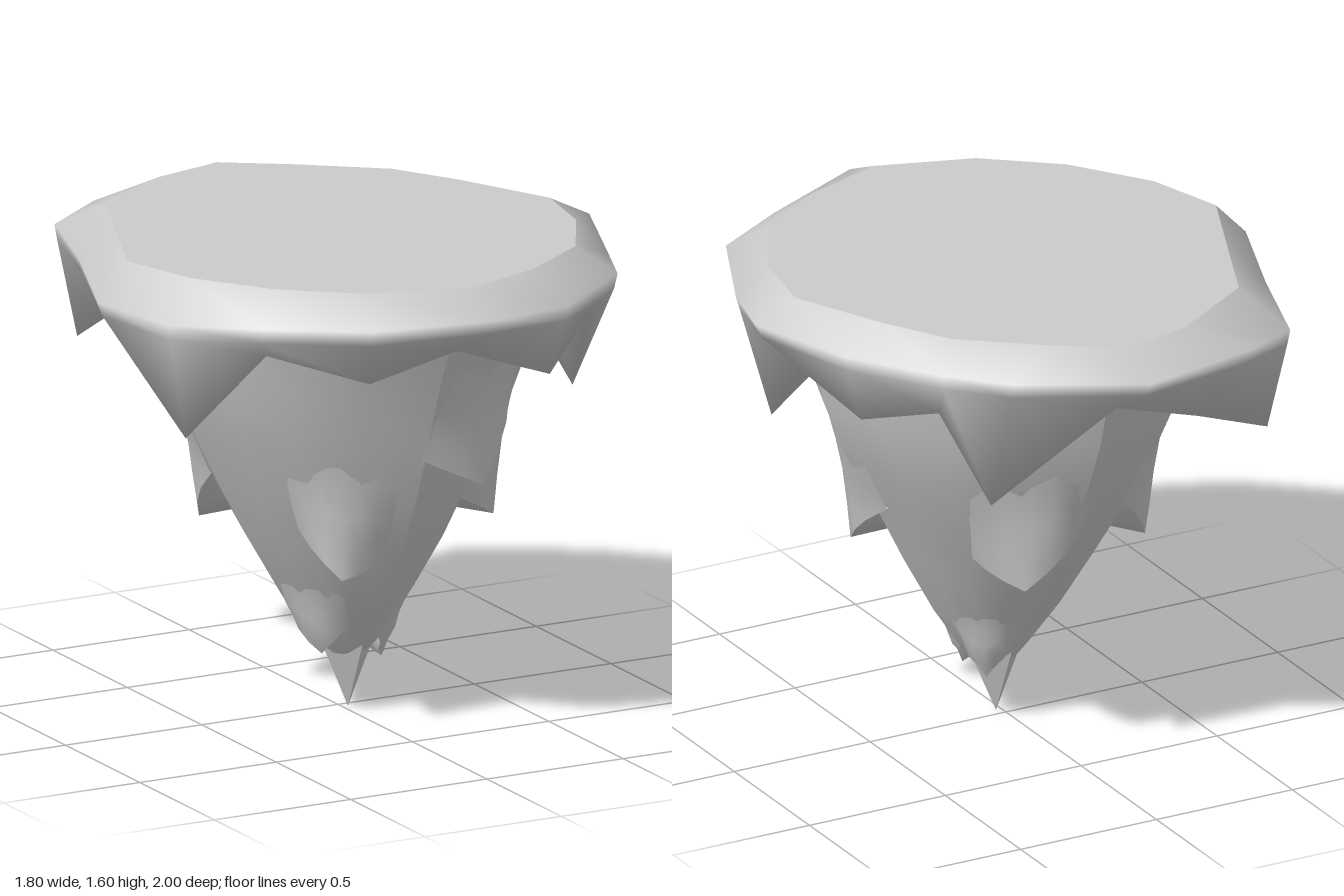
import * as THREE from 'three';

const CX = 0.02, CZ = 0.03; // axis of the rock

const grey = () => new THREE.MeshStandardMaterial({ color: 0xcccccc, side: THREE.DoubleSide });

// Skins a list of rings (top to bottom) with smooth normals.
function loft(rings, closed) {
  const n = rings[0].length, index = [];
  for (let i = 0; i < rings.length - 1; i++) {
    for (let j = 0; j < (closed ? n : n - 1); j++) {
      const k = (j + 1) % n, a = i * n + j, b = i * n + k;
      index.push(a, b, a + n, b, b + n, a + n);
    }
  }
  const g = new THREE.BufferGeometry();
  g.setAttribute('position', new THREE.Float32BufferAttribute(rings.flat(2), 3));
  g.setIndex(index);
  g.computeVertexNormals();
  return g;
}

function add(group, name, geometry) {
  const mesh = new THREE.Mesh(geometry, grey());
  mesh.name = name;
  group.add(mesh);
}

// Flat top outline: x, z, starting at the back and running over +x.
const TOP = [[0.02, -0.85], [0.24, -0.7], [0.48, -0.51], [0.61, -0.29], [0.76, 0.03], [0.71, 0.3],
  [0.56, 0.57], [0.31, 0.74], [0.02, 0.845], [-0.3, 0.74], [-0.53, 0.555], [-0.71, 0.3],
  [-0.79, 0.03], [-0.66, -0.28], [-0.53, -0.59], [-0.22, -0.79]];
// Widest line of the rim: x, y, z.
const RIM = [[0.02, 1.53, -1], [0.4, 1.52, -0.77], [0.56, 1.52, -0.6], [0.74, 1.5, -0.27],
  [0.9, 1.53, 0.04], [0.8, 1.49, 0.35], [0.66, 1.52, 0.67], [0.37, 1.5, 0.87],
  [0.02, 1.53, 1], [-0.35, 1.51, 0.87], [-0.63, 1.5, 0.64], [-0.82, 1.47, 0.36],
  [-0.905, 1.48, 0.04], [-0.74, 1.5, -0.39], [-0.62, 1.5, -0.77], [-0.41, 1.52, -0.89]];
// Toothed lower edge of the rim: x, y, z.
const HEM = [[0.02, 1.36, -0.77], [0.42, 1.06, -0.66], [0.54, 1.36, -0.53], [0.66, 1.25, -0.23],
  [0.7, 1.37, 0.04], [0.68, 1.06, 0.33], [0.6, 1.38, 0.59], [0.34, 1.26, 0.8],
  [0.02, 1.37, 0.76], [-0.32, 1.315, 0.8], [-0.58, 1.39, 0.58], [-0.75, 1.08, 0.35],
  [-0.74, 1.34, 0.04], [-0.67, 1.35, -0.3], [-0.58, 1.14, -0.69], [-0.28, 1.27, -0.77]];

// Rock reach along +x, +z, -x, -z at each height.
const HEIGHTS = [1.42, 1.2, 1.0, 0.8, 0.6, 0.4, 0.25, 0.19];
const REACH = [
  [0.67, 0.63, 0.55, 0.44, 0.34, 0.23, 0.13, 0.07],
  [0.71, 0.61, 0.54, 0.46, 0.36, 0.22, 0.12, 0.06],
  [0.71, 0.66, 0.57, 0.47, 0.36, 0.24, 0.12, 0.07],
  [0.76, 0.7, 0.61, 0.5, 0.36, 0.22, 0.11, 0.06],
];

function reachAt(side, y) {
  const r = REACH[side % 4];
  for (let i = 0; i < HEIGHTS.length - 1; i++) {
    if (y >= HEIGHTS[i + 1]) {
      const t = (HEIGHTS[i] - y) / (HEIGHTS[i] - HEIGHTS[i + 1]);
      return r[i] + (r[i + 1] - r[i]) * t;
    }
  }
  return r[r.length - 1];
}

// Point on the rock skin; each quadrant is a slightly flattened panel.
function rockPoint(angle, y, scale = 1) {
  const full = (angle + Math.PI * 4) % (Math.PI * 2);
  const q = Math.floor(full / (Math.PI / 2) + 1e-6);
  const c = Math.abs(Math.cos(full)), s = Math.abs(Math.sin(full));
  const even = q % 2 === 0;
  const rx = reachAt(even ? q : q + 1, y), rz = reachAt(even ? q + 1 : q, y);
  const k = scale * (1 - 0.16 * c * s);
  const sx = q === 0 || q === 3 ? 1 : -1, sz = q < 2 ? 1 : -1;
  return [CX + sx * c * rx * k, y, CZ + sz * s * rz * k];
}

// Flap swelling smoothly out of the rock to a hanging tip. h is its height,
// w its half angle; the lower edge climbs by riseA and riseB at its two ends.
function addFlap(group, name, [x, y, z, h, w, riseA, riseB]) {
  const middle = Math.atan2(z - CZ, x - CX);
  const base = rockPoint(middle, y);
  const swell = Math.hypot(x - CX, z - CZ) / Math.hypot(base[0] - CX, base[2] - CZ) - 1;
  const columns = [-1, -0.66, -0.33, 0, 0.33, 0.66, 1].map((u) => ({
    angle: middle + u * w,
    low: y + Math.abs(u) * (u < 0 ? riseA : riseB),
    out: swell * (1 - Math.abs(u)),
  }));
  // the top and side edges sink just into the rock so that they blend in
  const rows = [0, 0.25, 0.5, 0.75, 1].map((t) => columns.map(({ angle, low, out }) =>
    rockPoint(angle, y + h + (low - y - h) * t, 0.98 + 0.02 * t + out * t * t)));
  const inner = columns.map(({ angle, low }) => rockPoint(angle, low + 0.03, 0.92));
  add(group, name, loft(rows, false));
  add(group, name + 'Underside', loft([rows[4], inner], false));
}

export function createModel() {
  const island = new THREE.Group();
  island.name = 'floatingIsland';

  // Flat ground and the drooping rim that curls in beneath it
  const top = TOP.map(([x, z]) => [x, 1.6, z]);
  const lip = RIM.map(([x, y, z], i) => [
    x + (HEM[i][0] - x) * 0.12, y - 0.05, z + (HEM[i][2] - z) * 0.12]);
  const tuck = HEM.map(([x, , z]) => [x * 0.84, 1.4, z * 0.84]);
  add(island, 'ground', loft([top.map(() => [0, 1.6, 0]), top], true));
  add(island, 'rim', loft([top, RIM, lip, HEM, tuck], true));

  // Four rock panels meeting at sharp ridges
  for (let q = 0; q < 4; q++) {
    const rings = HEIGHTS.map((y) => Array.from({ length: 5 }, (_, j) => {
      // keep the last column inside this quadrant's reach values
      const a = (q + Math.min(j / 4, 0.99999)) * Math.PI / 2;
      return rockPoint(a, y);
    }));
    add(island, 'rockPanel' + (q + 1), loft(rings, false));
  }

  // Pointed bottom
  const tip = new THREE.ConeGeometry(0.12, 0.28, 4).toNonIndexed();
  tip.rotateX(Math.PI).translate(CX, 0.14, CZ);
  tip.computeVertexNormals();
  add(island, 'tip', tip);

  // Flaps: tip x, y, z, height, half angle, edge rises
  const flaps = [
    [0.24, 0.84, 0.55, 0.45, 0.42, 0.26, 0.11], [0.46, 0.63, 0.2, 0.5, 0.5, 0.19, 0.11],
    [-0.39, 0.63, -0.22, 0.45, 0.45, 0.2, 0.2], [-0.2, 0.54, 0.4, 0.42, 0.4, 0.04, 0.15],
    [0.19, 0.63, -0.45, 0.45, 0.42, 0.2, 0.06], [0.1, 0.17, -0.07, 0.25, 0.6, 0.1, 0.1],
    [-0.11, 0.21, 0.1, 0.25, 0.6, 0.1, 0.12], [0.11, 0.17, 0.09, 0.2, 0.5, 0.08, 0.08],
  ];
  flaps.forEach((flap, i) => addFlap(island, 'flap' + (i + 1), flap));

  return island;
}
